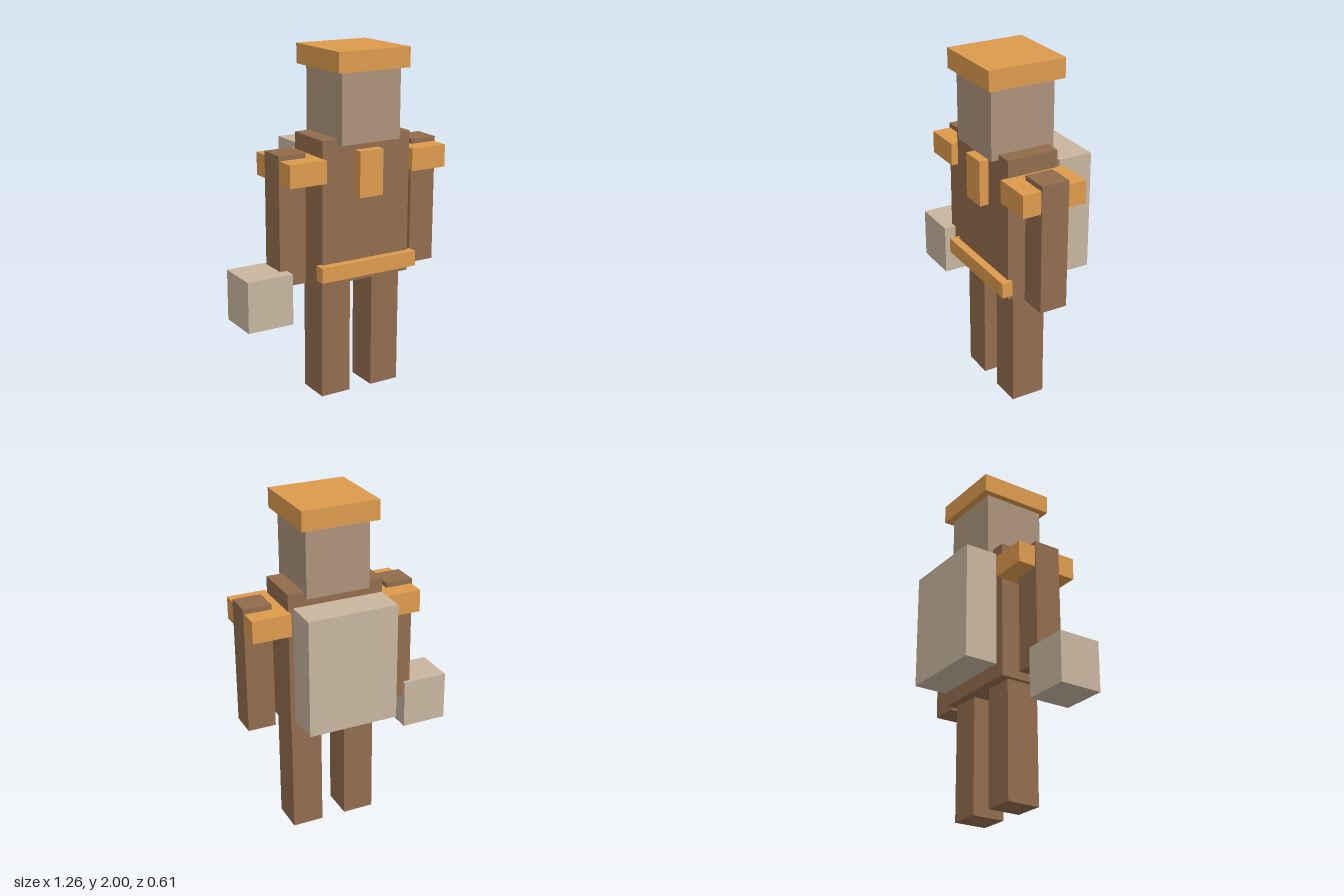
import * as THREE from 'three';

const material = (color) => new THREE.MeshStandardMaterial({ color });

export function createModel() {
  const model = new THREE.Group();
  const brown = material(0x926c4d);
  const orange = material(0xdd9a4d);
  const skin = material(0xac937b);
  const tan = material(0xc8b59f);

  // Box given by its extents along each axis
  function block(name, mat, [x0, x1], [y0, y1], [z0, z1]) {
    const mesh = new THREE.Mesh(new THREE.BoxGeometry(x1 - x0, y1 - y0, z1 - z0), mat);
    mesh.position.set((x0 + x1) / 2, (y0 + y1) / 2, (z0 + z1) / 2);
    mesh.name = name;
    model.add(mesh);
  }

  // Pair of boxes mirrored about the body's own centre line
  const mid = 0.115;
  function pair(name, mat, [inner, outer], y, z) {
    block('left' + name, mat, [mid + inner, mid + outer], y, z);
    block('right' + name, mat, [mid - outer, mid - inner], y, z);
  }

  // Torso, head and hat
  block('torso', brown, [-0.168, 0.398], [0.695, 1.52], [-0.075, 0.226]);
  block('head', skin, [-0.073, 0.303], [1.49, 1.89], [-0.11, 0.27]);
  block('hat', orange, [-0.112, 0.342], [1.887, 2], [-0.152, 0.303]);

  // Limbs and shoulder pads
  pair('Leg', brown, [0.073, 0.258], [0, 0.7], [-0.022, 0.178]);
  pair('Arm', brown, [0.348, 0.512], [0.708, 1.45], [-0.005, 0.157]);
  pair('ShoulderPad', orange, [0.279, 0.505], [1.292, 1.422], [-0.114, 0.266]);

  // Chest plate and belt
  block('chestPlate', orange, [0.04, 0.19], [1.187, 1.45], [0.2, 0.28]);
  block('belt', orange, [-0.197, 0.425], [0.73, 0.818], [0.211, 0.273]);

  // Backpack and carried box
  block('backpack', tan, [-0.15, 0.38], [0.762, 1.45], [-0.303, -0.102]);
  block('carriedBox', tan, [-0.63, -0.355], [0.508, 0.8], [-0.028, 0.226]);

  return model;
}
